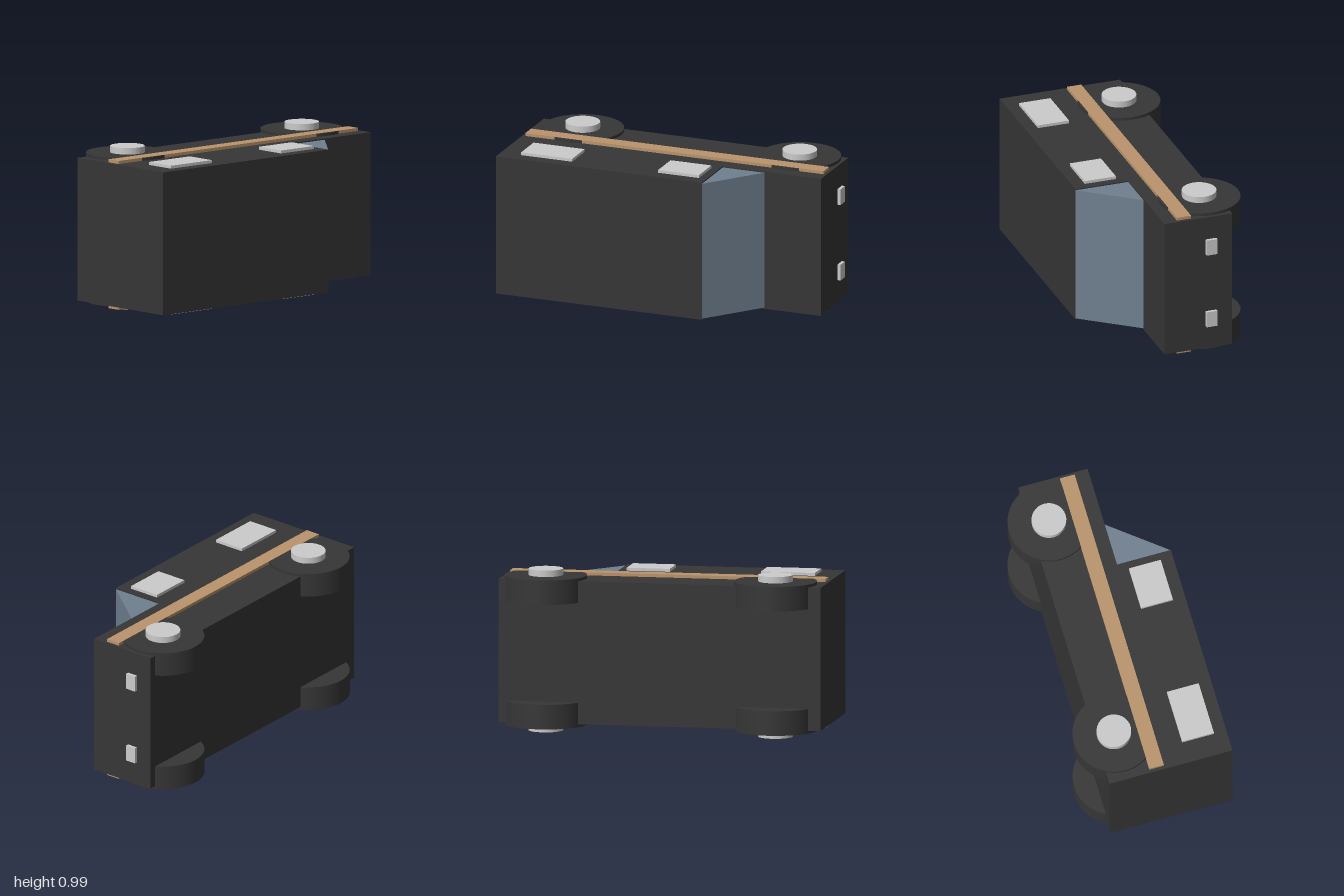
import * as THREE from 'three';

const material = (color) => new THREE.MeshStandardMaterial({ color });
const dark = material(0x363636);
const glass = material(0x708090);
const wood = material(0xba946c);
const grey = material(0xcccccc);

export function createModel() {
  const model = new THREE.Group();
  const midY = 0.493; // plane of symmetry between the two sides

  const add = (name, geometry, mat, x, y, z) => {
    const mesh = new THREE.Mesh(geometry, mat);
    mesh.name = name;
    mesh.position.set(x, y, z);
    model.add(mesh);
    return mesh;
  };
  // Box given by its extents
  const box = (name, mat, x0, x1, y0, y1, z0, z1) =>
    add(name, new THREE.BoxGeometry(x1 - x0, y1 - y0, z1 - z0), mat,
      (x0 + x1) / 2, (y0 + y1) / 2, (z0 + z1) / 2);

  // Body and cabin in one L-shaped profile, extruded across the width
  const extrudeAcross = (name, points, width, mat) => {
    const shape = new THREE.Shape(points.map(([x, z]) => new THREE.Vector2(x, -z)));
    const geometry = new THREE.ExtrudeGeometry(shape, { depth: width, bevelEnabled: false });
    geometry.translate(0, 0, -width / 2).rotateX(-Math.PI / 2);
    add(name, geometry, mat, 0, midY, 0);
  };
  extrudeAcross('body', [
    [-1, -0.32], [0.98, -0.32], [0.98, 0.115], [0.34, 0.115], [0.34, 0.453], [-1, 0.453],
  ], 0.872, dark);

  // Sloping windscreen wedge
  extrudeAcross('windscreen', [[0.34, 0.115], [0.61, 0.115], [0.34, 0.453]], 0.858, glass);

  for (const side of [-1, 1]) {
    // Wheels with hubs
    for (const x of [-0.7, 0.712]) {
      add('wheel', new THREE.CylinderGeometry(0.25, 0.25, 0.15, 48), dark,
        x, midY + side * 0.379, -0.205);
      add('hub', new THREE.CylinderGeometry(0.105, 0.105, 0.06, 32), grey,
        x, midY + side * 0.463, -0.205);
    }

    // Wooden side strip
    const strip = box('sideStrip', wood, -0.98, 0.96, 0, 0.04, -0.064, 0.028);
    strip.position.y = midY + side * 0.4345;

    // Side windows
    for (const [x0, x1] of [[-0.867, -0.535], [0.025, 0.29]]) {
      const pane = box('sideWindow', grey, x0, x1, 0, 0.04, 0.175, 0.375);
      pane.position.y = midY + side * 0.434;
    }

    // Headlights
    const lamp = box('headlight', grey, 0.96, 1, 0, 0.1, -0.218, -0.15);
    lamp.position.y = midY + side * 0.24;
  }

  return model;
}
